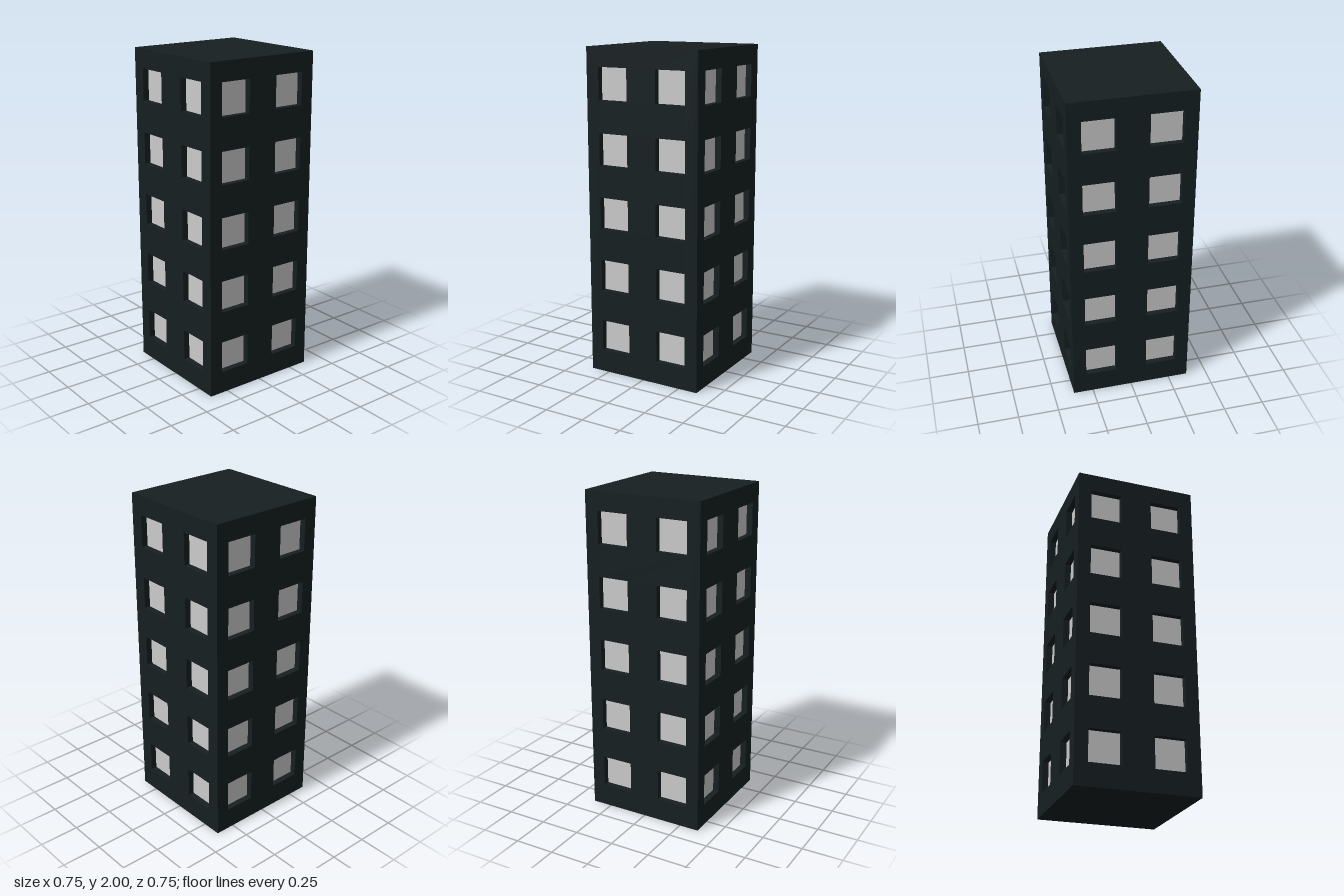
import * as THREE from 'three';

const WIDTH = 0.746, HEIGHT = 2;      // tower block
const DEPTH = 0.039;                  // window recess
const PANE = 0.195, COLUMN = 0.194;   // window size and offset from the middle
const FLOORS = 5, FIRST = 0.235, STEP = 0.388;

// Centres of all windows on one facade
function windowCentres() {
  const centres = [];
  for (let i = 0; i < FLOORS; i++) {
    for (const s of [-1, 1]) centres.push([s * COLUMN, FIRST + i * STEP]);
  }
  return centres;
}

function rectangle(path, x0, y0, x1, y1) {
  path.moveTo(x0, y0);
  path.lineTo(x1, y0);
  path.lineTo(x1, y1);
  path.lineTo(x0, y1);
  path.closePath();
  return path;
}

// Wall slab pierced by window openings
function wallGeometry(width) {
  const shape = rectangle(new THREE.Shape(), -width / 2, 0, width / 2, HEIGHT);
  const h = PANE / 2;
  for (const [x, y] of windowCentres()) {
    shape.holes.push(rectangle(new THREE.Path(), x - h, y - h, x + h, y + h));
  }
  return new THREE.ExtrudeGeometry(shape, { depth: DEPTH, bevelEnabled: false });
}

export function createModel() {
  const model = new THREE.Group();
  model.name = 'towerBlock';
  const wallMaterial = new THREE.MeshStandardMaterial({ color: 0x161f21 });
  const paneMaterial = new THREE.MeshStandardMaterial({ color: 0xcccccc });

  // Solid core behind the walls, also closing roof and base
  const inner = WIDTH - 2 * DEPTH;
  const core = new THREE.Mesh(new THREE.BoxGeometry(inner, HEIGHT, inner), wallMaterial);
  core.name = 'core';
  core.position.y = HEIGHT / 2;
  model.add(core);

  // Four facades; the side walls fit between the front and back ones
  const paneGeometry = new THREE.PlaneGeometry(PANE, PANE);
  ['front', 'left', 'back', 'right'].forEach((side, i) => {
    const facade = new THREE.Group();
    facade.name = side + 'Facade';
    facade.rotation.y = i * Math.PI / 2;

    const wall = new THREE.Mesh(wallGeometry(i % 2 ? inner : WIDTH), wallMaterial);
    wall.name = side + 'Wall';
    wall.position.z = inner / 2;
    facade.add(wall);

    // Recessed window panes
    for (const [x, y] of windowCentres()) {
      const pane = new THREE.Mesh(paneGeometry, paneMaterial);
      pane.name = 'windowPane';
      pane.position.set(x, y, inner / 2 + 0.001);
      facade.add(pane);
    }
    model.add(facade);
  });
  return model;
}
